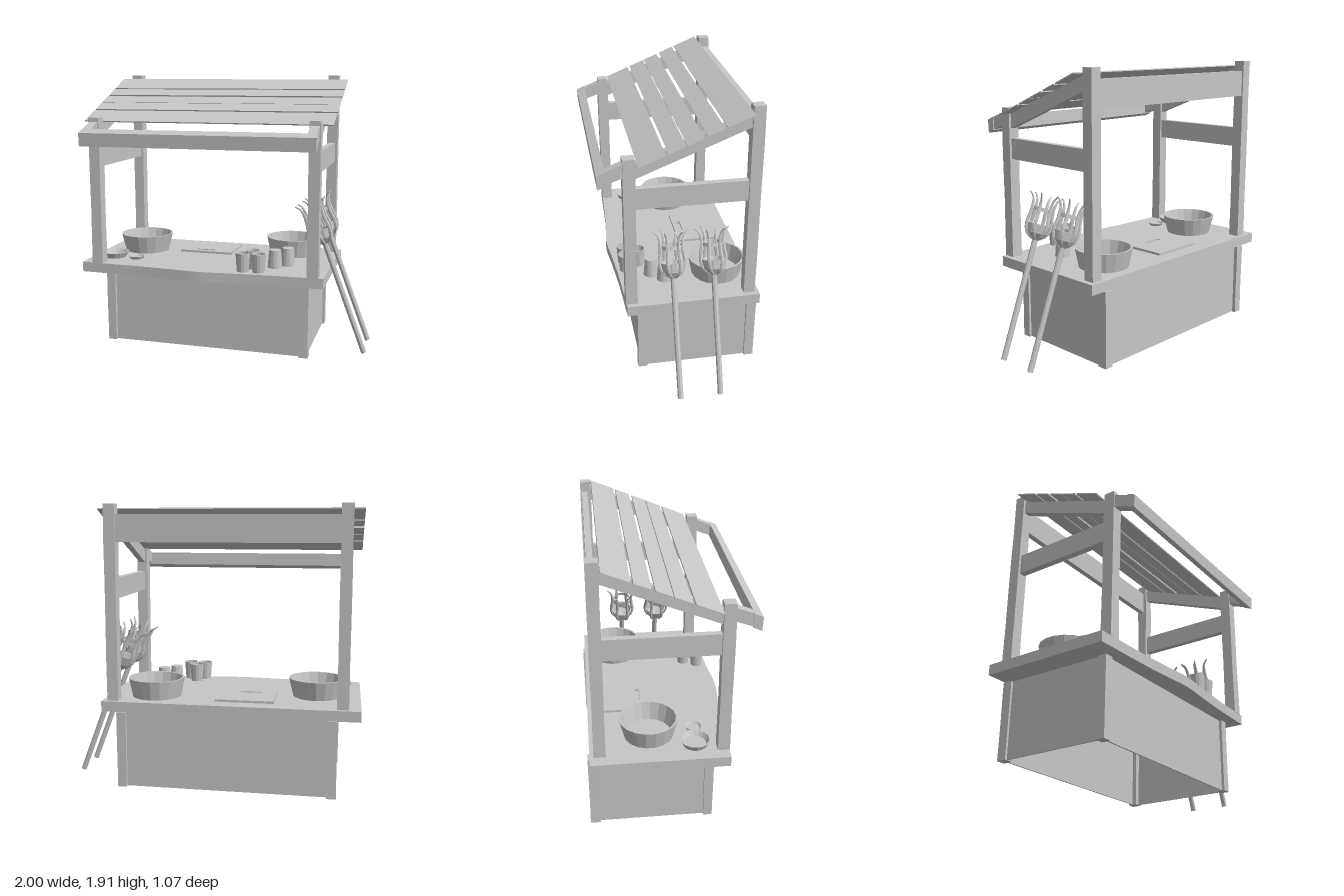
import * as THREE from 'three';

export function createModel() {
  const model = new THREE.Group();
  model.name = 'marketStall';
  const grey = new THREE.MeshStandardMaterial({ color: 0xc6c6c6, side: THREE.DoubleSide, flatShading: true });
  grey.name = 'plainGrey';

  const add = (name, geometry, parent = model) => {
    const mesh = new THREE.Mesh(geometry, grey);
    mesh.name = name;
    parent.add(mesh);
    return mesh;
  };

  // box given by its min and max on each axis
  const box = (name, x0, x1, y0, y1, z0, z1) => {
    const g = new THREE.BoxGeometry(x1 - x0, y1 - y0, z1 - z0);
    g.translate((x0 + x1) / 2, (y0 + y1) / 2, (z0 + z1) / 2);
    return add(name, g);
  };

  // upright timber with slightly uneven, hand-cut sides
  const timber = (name, x, z, w, d, y0, y1, phase) => {
    const g = new THREE.BoxGeometry(w, y1 - y0, d, 1, 5, 1);
    const p = g.attributes.position;
    for (let i = 0; i < p.count; i++) {
      const s = 1 - 0.025 * (1 + Math.sin(p.getY(i) * 9 + phase));
      p.setX(i, p.getX(i) * s);
      p.setZ(i, p.getZ(i) * s);
    }
    g.translate(x, (y0 + y1) / 2, z);
    return add(name, g);
  };

  // outline in (z, y), extruded along x about a centre
  const sidePiece = (name, points, x, width) => {
    const shape = new THREE.Shape(points.map(([z, y]) => new THREE.Vector2(z, y)));
    const g = new THREE.ExtrudeGeometry(shape, { depth: width, bevelEnabled: false });
    g.rotateY(-Math.PI / 2).translate(x + width / 2, 0, 0);
    return add(name, g);
  };

  // outline in (x, z), laid flat with its top at y
  const slab = (name, shape, y, depth) => {
    const g = new THREE.ExtrudeGeometry(shape, { depth, bevelEnabled: false, curveSegments: 8 });
    g.rotateX(Math.PI / 2).translate(0, y, 0);
    return add(name, g);
  };

  // counter top with a worn, bowed front edge
  const top = new THREE.Shape();
  top.moveTo(-1, -0.518);
  top.lineTo(0.73, -0.518);
  top.lineTo(0.73, 0.372);
  top.splineThru([[0.38, 0.383], [0.1, 0.402], [-0.13, 0.42], [-0.35, 0.402], [-0.6, 0.385], [-1, 0.372]]
    .map(([x, z]) => new THREE.Vector2(x, z)));
  slab('counterTop', top, 0.6, 0.07);

  // base: four legs and thin panels, open underneath
  for (const x of [-0.82, 0.59]) {
    timber('leg', x, 0.262, 0.064, 0.062, 0.01, 0.53, x * 3);
    timber('leg', x, -0.497, 0.064, 0.068, 0.01, 0.53, x * 5);
  }
  box('frontPanel', -0.8, 0.57, 0.012, 0.53, 0.262, 0.272);
  box('backPanel', -0.8, 0.57, 0.012, 0.53, -0.505, -0.495);
  box('leftPanel', 0.595, 0.605, 0.012, 0.53, -0.48, 0.24);
  box('rightPanel', -0.835, -0.825, 0.012, 0.53, -0.48, 0.24);

  // posts, side rails, rafters and front arms
  for (const x of [-0.882, 0.657]) {
    timber('frontPost', x, 0.338, 0.078, 0.078, 0.6, 1.627, x * 4);
    timber('backPost', x, -0.453, 0.078, 0.078, 0.6, 1.915, x * 2);
    box('sideRail', x - 0.022, x + 0.022, 1.285, 1.425, -0.43, 0.31);
    sidePiece('rafter', [[0.31, 1.488], [0.31, 1.588], [-0.43, 1.876], [-0.43, 1.783]], x, 0.045);
    sidePiece('frontArm', [[0.49, 1.467], [0.49, 1.552], [0.35, 1.607], [0.35, 1.517]], x, 0.06);
  }
  sidePiece('frontBar', [[0.53, 1.443], [0.535, 1.533], [0.48, 1.557], [0.475, 1.467]], -0.112, 1.612);
  box('backBeam', -0.86, 0.63, 1.665, 1.845, -0.48, -0.44);

  // roof planks laid down the slope
  const slope = Math.atan(0.41);
  for (const [z0, z1] of [[0.123, 0.288], [0, 0.107], [-0.107, -0.005], [-0.23, -0.128], [-0.41, -0.245]]) {
    const g = new THREE.BoxGeometry(1.752, 0.008, (z1 - z0) / Math.cos(slope));
    const z = (z0 + z1) / 2;
    g.rotateX(slope).translate(-0.114, 1.597 + (0.288 - z) * 0.41, z);
    add('roofPlank', g);
  }

  // open vessel with a thick wall
  const vessel = (name, x, z, rBottom, rTop, h, wall, sides) => {
    const pts = [[0, 0], [rBottom, 0], [rTop, h], [rTop - wall, h], [rBottom - wall, wall], [0, wall]];
    const g = new THREE.LatheGeometry(pts.map(([r, y]) => new THREE.Vector2(r, y)), sides);
    const mesh = add(name, g);
    mesh.position.set(x, 0.603, z);
    return mesh;
  };
  vessel('largeBowl', -0.7, -0.125, 0.162, 0.195, 0.13, 0.014, 18);
  vessel('largeBowl', 0.4, -0.29, 0.168, 0.195, 0.13, 0.014, 18);
  vessel('dish', -0.84, 0.165, 0.08, 0.1, 0.04, 0.01, 16);
  vessel('smallDish', -0.665, 0.178, 0.048, 0.058, 0.02, 0.007, 14);
  for (const [x, z] of [[0.172, 0.325], [0.282, 0.325], [0.22, 0.23]])
    vessel('cup', x, z, 0.041, 0.05, 0.128, 0.007, 14);
  for (const [x, z] of [[0.36, 0.16], [0.435, 0.08]]) {
    const cup = vessel('upturnedCup', x, z, 0.041, 0.051, 0.125, 0.007, 14);
    cup.rotation.x = Math.PI;
    cup.position.y = 0.727;
  }

  // cutting board with a slot handle
  const rect = (s, x0, x1, z0, z1) => {
    s.moveTo(x0, z0);
    s.lineTo(x1, z0);
    s.lineTo(x1, z1);
    s.lineTo(x0, z1);
    s.closePath();
    return s;
  };
  const board = rect(new THREE.Shape(), -0.425, -0.03, -0.41, -0.11);
  board.holes.push(rect(new THREE.Path(), -0.31, -0.17, -0.17, -0.145));
  slab('cuttingBoard', board, 0.618, 0.016);

  // long-handled claw tools leaning on the counter's end
  const prongPath = new THREE.CatmullRomCurve3([[0.015, 0.822], [0.065, 0.855], [0.084, 0.92], [0.074, 0.99], [0.074, 1.05], [0.088, 1.1], [0.115, 1.125]]
    .map(([r, y]) => new THREE.Vector3(r, y, 0)));
  const bowlProfile = [[0, 0.818], [0.04, 0.83], [0.068, 0.86], [0.08, 0.92], [0.07, 0.92], [0.058, 0.87], [0, 0.84]]
    .map(([r, y]) => new THREE.Vector2(r, y));
  for (const z of [0.063, -0.208]) {
    const tool = new THREE.Group();
    tool.name = 'clawTool';
    tool.position.set(0.98, 0.007, z);
    tool.rotation.z = 0.362;
    add('handle', new THREE.CylinderGeometry(0.019, 0.019, 0.83, 8).translate(0, 0.415, 0), tool);
    add('scoop', new THREE.LatheGeometry(bowlProfile, 14), tool);
    add('hoop', new THREE.CylinderGeometry(0.066, 0.066, 0.025, 14, 1, true).translate(0, 1.02, 0), tool);
    for (let i = 0; i < 6; i++) {
      const prong = new THREE.TubeGeometry(prongPath, 14, 0.0125, 6);
      // taper each prong towards a blunt tip
      const p = prong.attributes.position;
      for (let k = 0; k <= 14; k++) {
        const c = prongPath.getPointAt(k / 14);
        const s = k < 10 ? 1 : 1 - (k - 9) / 7.5;
        for (let j = 0; j <= 6; j++) {
          const v = new THREE.Vector3().fromBufferAttribute(p, k * 7 + j).sub(c).multiplyScalar(s).add(c);
          p.setXYZ(k * 7 + j, v.x, v.y, v.z);
        }
      }
      add('prong', prong, tool).rotation.y = Math.PI / 6 + i * Math.PI / 3;
    }
    model.add(tool);
  }
  return model;
}
